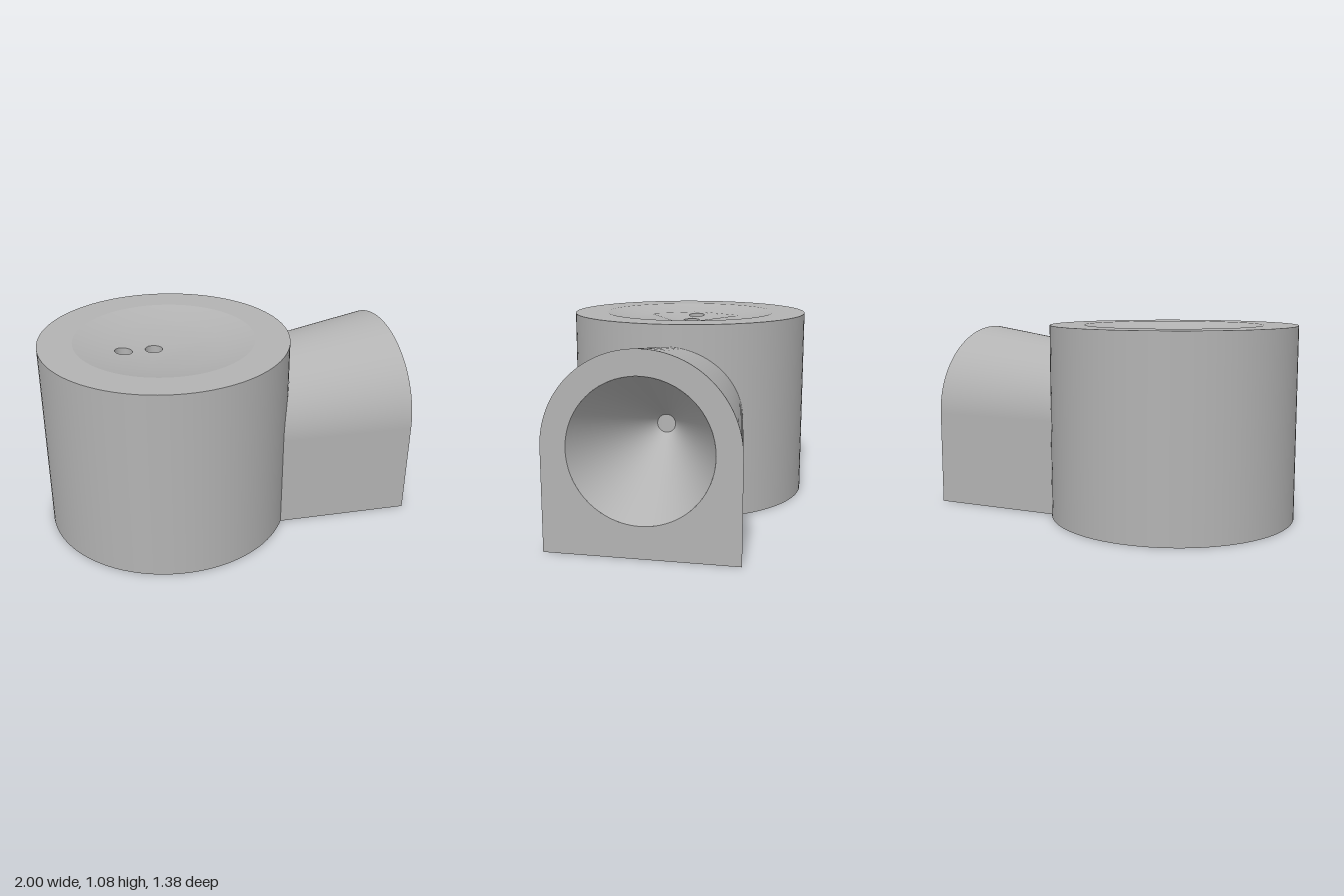
import * as THREE from 'three';

const SEG = 96;
const BODY_X = -0.31, BODY_R = 0.69, BODY_H = 1.08;
const DISH_R = 0.5, DISH_DEPTH = 0.06, INNER_R = 0.32;
const AXIS_Y = 0.54, MOUTH_R = 0.5, HORN_R = 0.37, THROAT_R = 0.05;

const material = new THREE.MeshStandardMaterial({ color: 0xb3b3b3 });
material.name = 'plain grey';

function part(name, geometry) {
  const mesh = new THREE.Mesh(geometry, material);
  mesh.name = name;
  return mesh;
}

const lathe = (points) =>
  new THREE.LatheGeometry(points.map(([r, y]) => new THREE.Vector2(r, y)), SEG);

// Smooth surface through a grid of points
function grid(nu, nv, pointAt) {
  const pos = [], index = [];
  for (let j = 0; j <= nv; j++)
    for (let i = 0; i <= nu; i++) pos.push(...pointAt(i / nu, j / nv));
  for (let j = 0; j < nv; j++)
    for (let i = 0; i < nu; i++) {
      const a = j * (nu + 1) + i, b = a + 1, c = a + nu + 1, d = c + 1;
      index.push(a, c, b, b, c, d);
    }
  const g = new THREE.BufferGeometry();
  g.setAttribute('position', new THREE.Float32BufferAttribute(pos, 3));
  g.setIndex(index);
  g.computeVertexNormals();
  return g;
}

// Height of the shallow dish at a distance from the body axis
const dishY = (r) => BODY_H - DISH_DEPTH * (1 - (r / DISH_R) ** 2);

// Half width of the tapering outlet, and where it meets the round body
const outletR = (x) => MOUTH_R - 0.13 * (1 - x);
function wallX(c) {
  let x = 0.3;
  for (let i = 0; i < 20; i++) x = BODY_X + Math.sqrt(BODY_R ** 2 - (outletR(x) * c) ** 2);
  return x;
}

function createBody() {
  const body = new THREE.Group();
  body.name = 'body';
  body.position.x = BODY_X;

  body.add(part('bodyWall', lathe([[BODY_R, 0], [BODY_R, BODY_H]])));
  body.add(part('bodyRim', lathe([[BODY_R, BODY_H], [DISH_R, BODY_H]])));
  body.add(part('bodyBase', lathe([[0.155, 0], [BODY_R, 0]])));
  body.add(part('baseHoleWall', lathe([[0.155, 0.3], [0.155, 0]])));
  body.add(part('baseHoleEnd', lathe([[0, 0.3], [0.155, 0.3]])));

  // Outer part of the dish
  const ring = [];
  for (let i = 0; i <= 8; i++) {
    const r = DISH_R + (INNER_R - DISH_R) * i / 8;
    ring.push([r, dishY(r)]);
  }
  body.add(part('dishOuter', lathe(ring)));

  // Inner part of the dish, pierced by two small holes
  const disc = new THREE.Shape().absarc(0, 0, INNER_R, 0, Math.PI * 2);
  const holes = [-0.23, -0.06];
  for (const x of holes)
    disc.holes.push(new THREE.Path().absarc(x, 0, 0.048, 0, Math.PI * 2, true));
  const inner = new THREE.ShapeGeometry(disc, SEG).rotateX(-Math.PI / 2);
  const p = inner.attributes.position, n = new THREE.Vector3();
  for (let i = 0; i < p.count; i++) {
    const x = p.getX(i), z = p.getZ(i), k = -2 * DISH_DEPTH / DISH_R ** 2;
    p.setY(i, dishY(Math.hypot(x, z)));
    n.set(k * x, 1, k * z).normalize();
    inner.attributes.normal.setXYZ(i, n.x, n.y, n.z);
  }
  body.add(part('dishInner', inner));

  // Sunken walls and floors of the two holes
  for (const x of holes) {
    const tube = lathe([[0.048, 1], [0.048, 0.85]]).translate(x, 0, 0);
    const t = tube.attributes.position;
    for (let i = 0; i < t.count; i++)
      if (t.getY(i) > 0.9) t.setY(i, dishY(Math.hypot(t.getX(i), t.getZ(i))));
    body.add(part('topHoleWall', tube));
    body.add(part('topHoleFloor', lathe([[0.048, 0.85], [0, 0.85]]).translate(x, 0, 0)));
  }
  return body;
}

function createOutlet() {
  const outlet = new THREE.Group();
  outlet.name = 'outlet';

  // Arched shell: straight sides with a half-round top
  const shell = grid(50, 12, (u, v) => {
    const i = Math.round(u * 50);
    const a = THREE.MathUtils.clamp((i - 1) / 48, 0, 1) * Math.PI;
    const c = Math.cos(a), x = THREE.MathUtils.lerp(wallX(c), 1, v), r = outletR(x);
    const y = i === 0 || i === 50 ? 0 : AXIS_Y + r * Math.sin(a);
    return [x, y, r * c];
  });
  outlet.add(part('outletShell', shell));

  // Flat underside
  outlet.add(part('outletBase', grid(24, 4, (u, v) => {
    const c = 2 * u - 1, x = THREE.MathUtils.lerp(wallX(c), 1, v);
    return [x, 0, outletR(x) * c];
  })));

  // End face with a round opening
  const face = new THREE.Shape().moveTo(-MOUTH_R, 0).lineTo(MOUTH_R, 0).lineTo(MOUTH_R, AXIS_Y);
  face.absarc(0, AXIS_Y, MOUTH_R, 0, Math.PI);
  face.closePath();
  face.holes.push(new THREE.Path().absarc(0, AXIS_Y, HORN_R, 0, Math.PI * 2, true));
  outlet.add(part('outletFace',
    new THREE.ShapeGeometry(face, SEG).rotateY(Math.PI / 2).translate(1, 0, 0)));

  // Conical horn narrowing to a small throat at the body
  const horn = part('hornCone', lathe([[HORN_R, 1], [THROAT_R, 0.38]]));
  horn.rotation.z = -Math.PI / 2;
  horn.position.y = AXIS_Y;
  outlet.add(horn);
  return outlet;
}

export function createModel() {
  const model = new THREE.Group();
  model.name = 'hornChamber';
  model.add(createBody(), createOutlet());
  return model;
}
